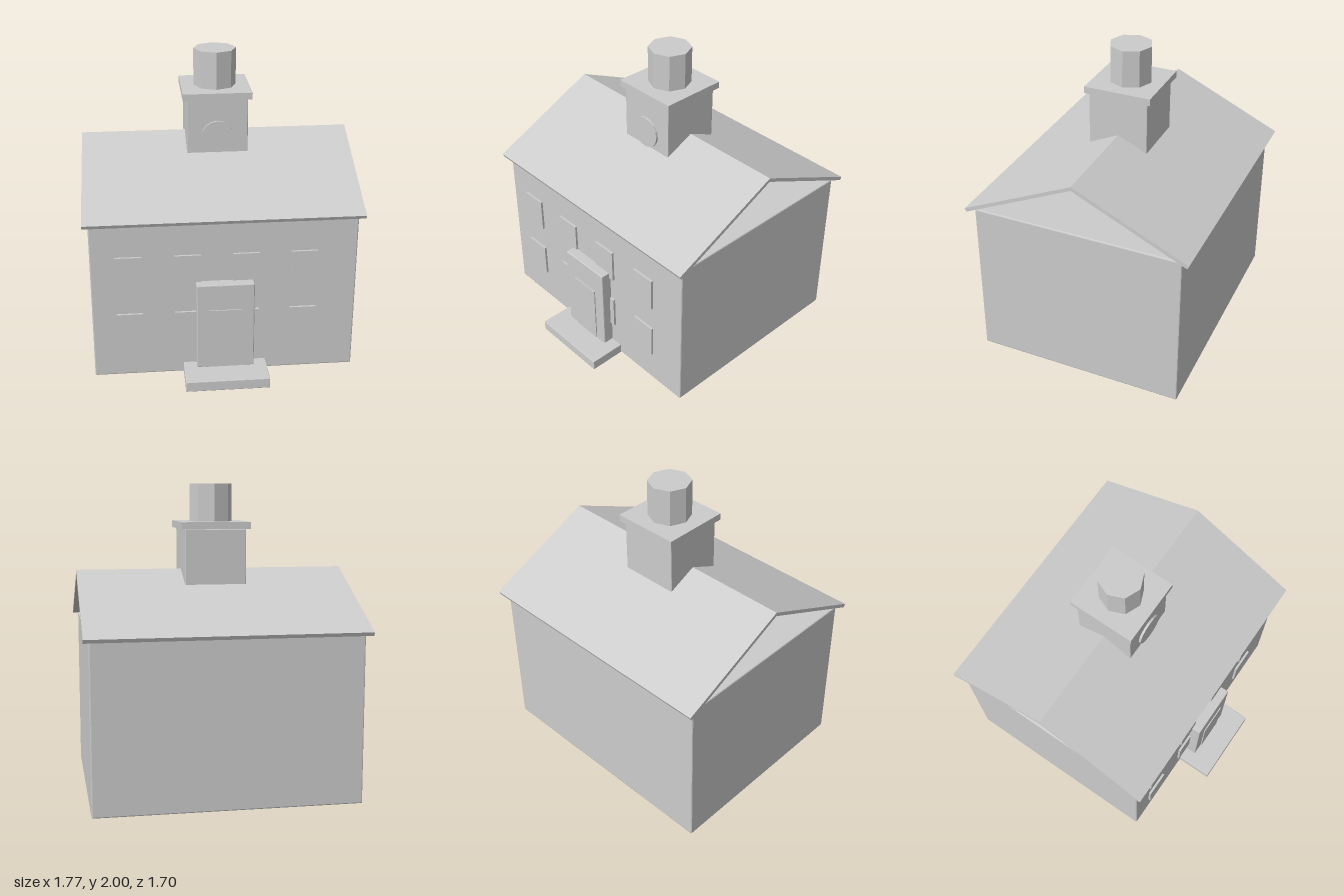
import * as THREE from 'three';
import { RoundedBoxGeometry } from 'three/addons/geometries/RoundedBoxGeometry.js';

const stone = new THREE.MeshStandardMaterial({ color: 0xcccccc, flatShading: true });
stone.name = 'paleGrey';

export function createModel() {
  const group = new THREE.Group();
  group.name = 'townHall';

  const add = (name, geometry, x = 0, y = 0, z = 0) => {
    const mesh = new THREE.Mesh(geometry, stone);
    mesh.name = name;
    mesh.position.set(x, y, z);
    group.add(mesh);
    return mesh;
  };

  // Box given by its limits on each axis, with an optional small bevel
  const box = (name, [x0, x1], [y0, y1], [z0, z1], bevel = 0) => {
    const size = [x1 - x0, y1 - y0, z1 - z0];
    const geometry = bevel
      ? new RoundedBoxGeometry(...size, 1, bevel)
      : new THREE.BoxGeometry(...size);
    return add(name, geometry, (x0 + x1) / 2, (y0 + y1) / 2, (z0 + z1) / 2);
  };

  // Main building
  box('walls', [-0.85, 0.85], [0, 1.083], [-0.795, 0.6], 0.008);

  // Thin gabled roof with open ends, extruded along x
  const ridgeZ = -0.1;
  const profile = new THREE.Shape([
    [-0.75, 1.098], [-0.74, 1.075], [0, 1.419],
    [0.74, 1.075], [0.75, 1.098], [0, 1.445],
  ].map(([u, v]) => new THREE.Vector2(u, v)));
  const roof = new THREE.ExtrudeGeometry(profile, { depth: 1.77, bevelEnabled: false });
  roof.translate(0, 0, -0.885).rotateY(Math.PI / 2);
  add('roof', roof, 0, 0, ridgeZ);

  // Tower, cornice and eight-sided cupola
  box('tower', [-0.2, 0.2], [1.09, 1.71], [-0.297, 0.103], 0.006);
  box('towerCornice', [-0.225, 0.225], [1.71, 1.755], [-0.323, 0.125]);
  add('cupola', new THREE.CylinderGeometry(0.14, 0.14, 0.247, 8), 0, 1.8765, ridgeZ);

  // Round face on the front of the tower
  const disc = new THREE.CylinderGeometry(0.107, 0.107, 0.025, 16).rotateX(Math.PI / 2);
  add('clockFace', disc, 0, 1.46, 0.105);

  // Two rows of windows
  for (const y of [0.3375, 0.74]) {
    for (const x of [-0.61, -0.235, 0.137, 0.51]) {
      box('window', [x - 0.085, x + 0.085], [y - 0.114, y + 0.114], [0.595, 0.615]);
    }
  }

  // Entrance
  box('doorSurround', [-0.185, 0.185], [0.07, 0.667], [0.6, 0.675], 0.006);
  box('door', [-0.105, 0.105], [0.075, 0.49], [0.67, 0.682]);
  box('doorstep', [-0.27, 0.27], [0, 0.07], [0.6, 0.845], 0.004);

  return group;
}
